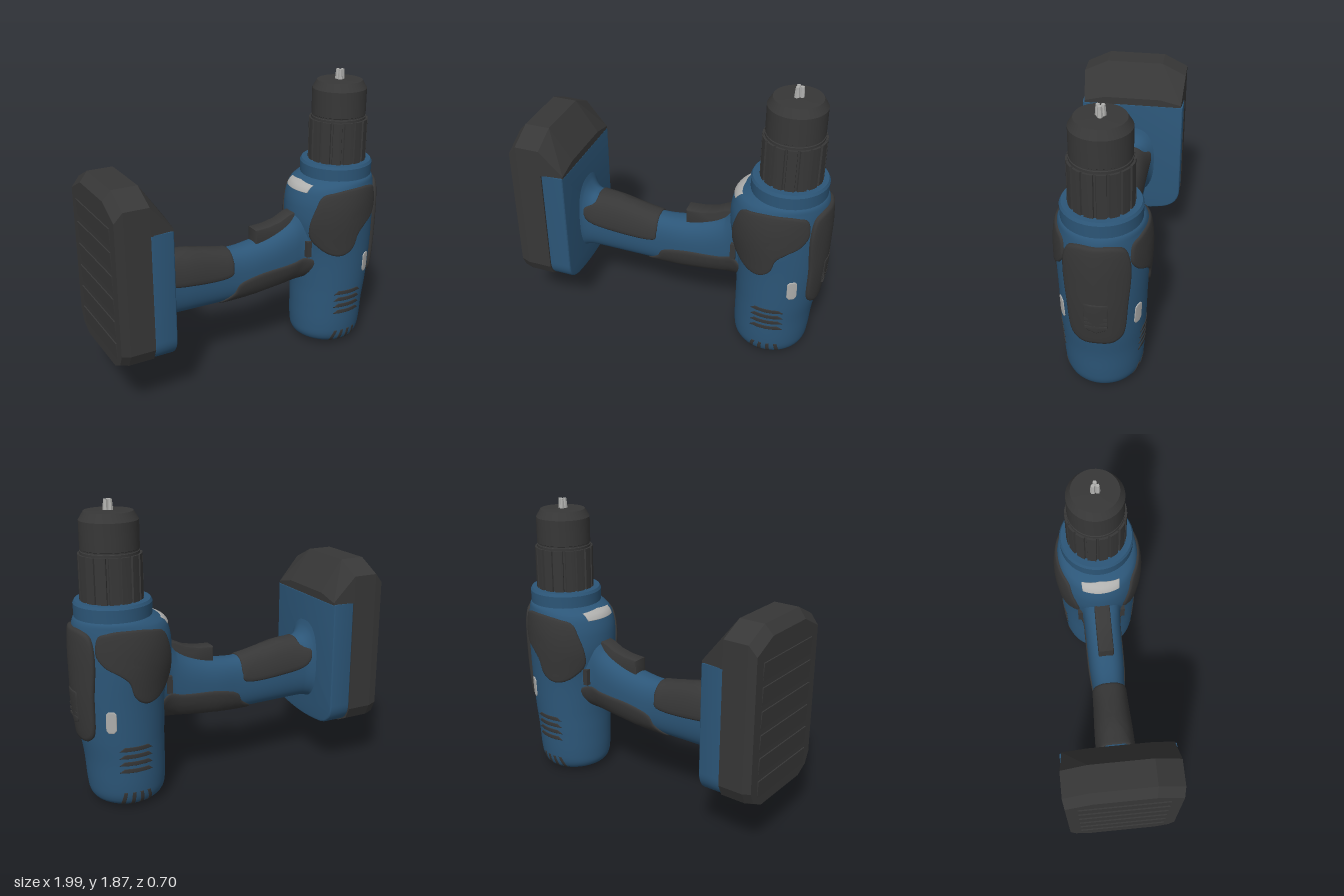
import * as THREE from 'three';
import { toCreasedNormals } from 'three/addons/utils/BufferGeometryUtils.js';
import { ConvexGeometry } from 'three/addons/geometries/ConvexGeometry.js';

const paint = (name, color) => Object.assign(new THREE.MeshStandardMaterial({ color }), { name });

// Smooth interpolation through rows of [key, a, b, c]
function smoothRows(rows) {
  const slope = (i, k) => {
    const p = rows[Math.max(i - 1, 0)], n = rows[Math.min(i + 1, rows.length - 1)];
    return (n[k] - p[k]) / (n[0] - p[0]);
  };
  return (u) => {
    let i = 0;
    while (i < rows.length - 2 && u > rows[i + 1][0]) i++;
    const h = rows[i + 1][0] - rows[i][0];
    const t = THREE.MathUtils.clamp((u - rows[i][0]) / h, 0, 1), s = t * t * (3 - 2 * t);
    return [1, 2, 3].map((k) => rows[i][k] * (1 - s) + rows[i + 1][k] * s
      + h * t * (1 - t) * ((1 - t) * slope(i, k) - t * slope(i + 1, k)));
  };
}

// Motor housing rows: y, back x, front x, half depth
const bodyRows = [
  [0, .56, .79, .13], [.015, .49, .85, .185], [.05, .437, .888, .222], [.12, .42, .905, .241],
  [.3, .418, .92, .25], [.45, .418, .942, .256], [.7, .4, .965, .263], [.9, .362, .97, .275],
  [1.02, .36, .97, .275], [1.1, .375, .965, .267], [1.15, .4, .96, .256], [1.18, .45, .95, .245], [1.2, .49, .935, .225],
];
const bodyAt = smoothRows(bodyRows);
const body = (y, a) => {
  const [x0, x1, rz] = bodyAt(y);
  return new THREE.Vector3((x0 + x1) / 2 + (x1 - x0) / 2 * Math.cos(a), y, rz * Math.sin(a));
};

// Handle rows: x, bottom y, top y, half depth
const handleRows = [
  [-.65, .44, 1.03, .175], [-.62, .453, .93, .145], [-.57, .458, .88, .125], [-.4, .455, .86, .116],
  [-.12, .45, .805, .105], [.05, .458, .815, .115], [.2, .472, .85, .118], [.33, .488, .92, .12],
  [.4, .495, 1.02, .127], [.48, .5, 1.08, .17], [.54, .51, 1.1, .18],
];
const handleAt = smoothRows(handleRows);
const round = (v) => Math.sign(v) * Math.abs(v) ** .8;
const handle = (x, a) => {
  const [y0, y1, rz] = handleAt(x);
  return new THREE.Vector3(x, (y0 + y1) / 2 + (y1 - y0) / 2 * round(Math.sin(a)), rz * round(Math.cos(a)));
};

function fromPoints(points, index) {
  const g = new THREE.BufferGeometry().setFromPoints(points);
  g.setIndex(index);
  g.computeVertexNormals();
  return g;
}

// Closed skin with end caps
function loft(surface, rows, sides = 72, sub = 5) {
  const us = [];
  rows.forEach((r, i) => {
    if (i) for (let k = 1; k <= sub; k++) us.push(rows[i - 1][0] + (r[0] - rows[i - 1][0]) * k / sub);
    else us.push(r[0]);
  });
  const pts = [], idx = [];
  us.forEach((u) => { for (let j = 0; j < sides; j++) pts.push(surface(u, j / sides * Math.PI * 2)); });
  const last = (us.length - 1) * sides, c = pts.length;
  for (const u of [us[0], us[us.length - 1]]) pts.push(surface(u, 0).add(surface(u, Math.PI)).multiplyScalar(.5));
  for (let j = 0; j < sides; j++) {
    const n = (j + 1) % sides;
    for (let i = 0; i < last; i += sides) idx.push(i + j, i + sides + j, i + n, i + sides + j, i + sides + n, i + n);
    idx.push(c, j, n, c + 1, last + n, last + j);
  }
  return fromPoints(pts, idx);
}

// Raised pad lying on a skin, bounded by an outline in surface coordinates
function pad(surface, outline, lift, smooth = true) {
  let line = outline.map(([u, a]) => new THREE.Vector2(u, a));
  if (THREE.ShapeUtils.area(line) < 0) line.reverse();
  const mid = line.reduce((s, p) => s.add(p), new THREE.Vector2()).divideScalar(line.length);
  if (smooth) {
    const curve = new THREE.CatmullRomCurve3(line.map((p) => new THREE.Vector3(p.x, p.y, 0)), true);
    line = curve.getPoints(72).slice(0, 72);
  } else {
    line = line.flatMap((p, i) => [0, .25, .5, .75].map((t) => p.clone().lerp(line[(i + 1) % line.length], t)));
  }
  const at = (u, a, h) => {
    const e = .002, p = surface(u, a);
    const du = surface(u + e, a).sub(surface(u - e, a)), da = surface(u, a + e).sub(surface(u, a - e));
    return p.addScaledVector(du.cross(da).normalize(), h);
  };
  const pts = [at(mid.x, mid.y, lift)], idx = [], n = line.length;
  const rings = [[.2, 1], [.4, 1], [.6, 1], [.8, 1], [.93, 1], [.98, .8], [1, .3], [1, -.4]];
  rings.forEach(([t, h], r) => line.forEach((p, j) => {
    pts.push(at(mid.x + (p.x - mid.x) * t, mid.y + (p.y - mid.y) * t, lift * h));
    const k = (j + 1) % n, o = 1 + r * n, q = o - n;
    if (r) idx.push(q + j, o + j, o + k, q + j, o + k, q + k);
    else idx.push(0, o + j, o + k);
  }));
  return fromPoints(pts, idx);
}

// Side-on x, y position converted to housing coordinates
const onSide = (side) => ([x, y]) => {
  const [x0, x1] = bodyAt(y);
  return [y, side * Math.acos(THREE.MathUtils.clamp((2 * x - x0 - x1) / (x1 - x0), -1, 1))];
};

export function createModel() {
  const model = new THREE.Group();
  model.name = 'cordlessDrill';
  const blue = paint('blueShell', 0x2c5678), dark = paint('darkRubber', 0x373737), silver = paint('silver', 0xb0b0ae);
  const add = (name, geometry, material, x = 0, y = 0, z = 0) => {
    const m = new THREE.Mesh(geometry, material);
    m.name = name;
    m.position.set(x, y, z);
    model.add(m);
    return m;
  };
  const crease = (g) => toCreasedNormals(g, .5);
  const lathe = (pts, n = 48) => crease(new THREE.LatheGeometry(pts.map((p) => new THREE.Vector2(...p)), n));

  // Housing and handle
  add('motorHousing', loft(body, bodyRows), blue);
  add('handle', loft(handle, handleRows), blue);
  add('collar', lathe([[0, 1.16], [.232, 1.16], [.236, 1.27], [.226, 1.288], [0, 1.292]]), blue, .71);

  // Front bumper with speed switch
  add('frontBumper', pad(body, [[.44, 0], [.45, -.42], [.52, -.62], [.75, -.69], [1, -.72], [1.1, -.65], [1.14, -.42],
    [1.145, 0], [1.14, .42], [1.1, .65], [1, .72], [.75, .69], [.52, .62], [.45, .42]], .023), dark);
  add('switchPlate', pad((y, a) => body(y, a).add(new THREE.Vector3(.022, 0, 0)),
    [[.56, -.2], [.54, 0], [.56, .2], [.6, .26], [.76, .26], [.76, -.26], [.6, -.26]], .006, false), dark);
  for (const y of [.59, .62, .65]) add('switchRidge', new THREE.BoxGeometry(.02, .014, .13), dark, .976, y, 0);

  // Mirrored side details
  const sidePad = [[.47, 1.1], [.56, 1.135], [.7, 1.15], [.82, 1.14], [.88, 1.1], [.89, 1.02], [.86, .95], [.77, .885],
    [.715, .83], [.69, .75], [.64, .7], [.57, .69], [.48, .74], [.42, .83], [.415, .92], [.44, 1.03]];
  const lightPlate = [[.795, .54], [.81, .52], [.838, .52], [.85, .54], [.85, .645], [.838, .66], [.81, .66], [.795, .645]];
  for (const side of [1, -1]) {
    const map = onSide(side);
    add('sideGrip', pad(body, sidePad.map(map), .013), dark);
    add('sidePlate', pad(body, lightPlate.map(map), .005, false), silver);
    for (const y of [.41, .362, .314, .266]) {
      const slot = [[.575, y - .014], [.605, y + .013], [.755, y + .013], [.785, y - .014]];
      add('sideVent', pad(body, slot.map(map), .004, false), dark);
    }
    for (const x of [.605, .652, .7, .748]) {
      const slot = [[x - .01, .012], [x + .01, .012], [x + .01, .115], [x - .01, .115]];
      add('bottomVent', pad(body, slot.map(map), .003, false), dark);
    }
  }
  const P = Math.PI;
  add('backLabel', pad(body, [[1.12, P - .46], [1.12, P], [1.12, P + .46], [1.165, P + .5], [1.175, P], [1.165, P - .5]],
    .005, false), silver);

  // Handle grips wrapping over the top and under the bottom
  const upper = [[-.15, .06], [-.118, .35], [-.115, .9]], upperBack = [[-.55, .9], [-.615, .4], [-.57, .06]];
  const flip = (list, turn) => list.map(([x, a]) => [x, turn - a]).reverse();
  add('rearGrip', pad(handle, [[-.36, 0], ...upper, [-.115, P / 2], ...flip(upper, P), [-.36, P],
    ...flip(upperBack, P), [-.545, P / 2], ...upperBack], .01), dark);
  const low = [[-.19, -1.1], [-.11, -.55], [-.05, -.12], [.1, -.04], [.3, -.16], [.42, -.3], [.475, -.5], [.485, -1]];
  add('lowerGrip', pad(handle, [[-.19, -P / 2], ...low, [.485, -P / 2], ...flip(low, -P)], .01), dark);

  // Trigger and direction selector
  const t = new THREE.Shape([[.08, .77], [.08, .895], [.17, .9], [.26, .92], [.33, .955], [.39, .97], [.39, .77]]
    .map((p) => new THREE.Vector2(...p)));
  add('trigger', crease(new THREE.ExtrudeGeometry(t, { depth: .08, bevelSize: .01, bevelThickness: .01, bevelSegments: 2 })),
    dark, 0, 0, -.04);
  add('directionSelector', new THREE.BoxGeometry(.034, .11, .315), dark, .417, .737, 0);

  // Battery: dark shell, sloped cap, ribs and blue mount
  const ring = (x, d) => [[.35, .43], [.315, .355], [.23, .31], [.35, 1.33], [.19, 1.41]]
    .flatMap(([z, y]) => [1, -1].map((s) => new THREE.Vector3(x, y > 1 ? y - d : y + d * .2, s * (z - d * .15))));
  add('batteryShell', new ConvexGeometry([...ring(-.992, .06), ...ring(-.94, 0), ...ring(-.78, 0)]), dark);
  const cap = [[-.78, 1.155, .35], [-.78, 1.33, .35], [-.78, 1.41, .19], [-.635, 1.155, .335], [-.635, 1.17, .335], [-.635, 1.205, .19]];
  add('batteryCap', new ConvexGeometry(cap.flatMap(([x, y, z]) => [1, -1].map((s) => new THREE.Vector3(x, y, s * z)))), dark);
  for (let i = 0; i < 6; i++) {
    const rib = add('batteryRib', new THREE.BoxGeometry(.01, .11, .54), dark, -.991, .44 + i * .145, 0);
    rib.rotation.z = .06;
  }
  const m = new THREE.Shape();
  m.moveTo(-.335, 1.145);
  m.lineTo(-.335, .47);
  m.quadraticCurveTo(-.335, .36, -.22, .335);
  m.quadraticCurveTo(0, .3, .22, .335);
  m.quadraticCurveTo(.335, .36, .335, .47);
  m.lineTo(.335, 1.145);
  const mount = new THREE.ExtrudeGeometry(m, { depth: .12, bevelSize: .013, bevelThickness: .013, bevelSegments: 3 });
  add('batteryMount', crease(mount.rotateY(P / 2)), blue, -.768, 0, 0);

  // Chuck: fluted sleeve, nose and jaws
  const flutes = [];
  for (let i = 0; i < 16; i++) {
    for (const [o, r] of [[.04, .19], [.5, .19], [.78, .19], [.82, .179], [.98, .179]]) {
      const a = (i + o) / 16 * P * 2;
      flutes.push(new THREE.Vector2(r * Math.cos(a), r * Math.sin(a)));
    }
  }
  const sleeve = new THREE.ExtrudeGeometry(new THREE.Shape(flutes), { depth: .275, bevelEnabled: false });
  add('chuckSleeve', crease(sleeve.rotateX(-P / 2)), dark, .715, 1.285, 0);
  add('chuckNose', lathe([[0, 1.54], [.176, 1.54], [.176, 1.575], [.171, 1.578], [.171, 1.586], [.175, 1.589],
    [.175, 1.755], [.145, 1.805], [.04, 1.808], [0, 1.808]]), dark, .715);
  for (let i = 0; i < 3; i++) {
    const jaw = new THREE.CylinderGeometry(.012, .018, .075, 6).translate(.016, 1.833, 0).rotateY(i * P * 2 / 3);
    add('chuckJaw', crease(jaw), silver, .715);
  }
  return model;
}
